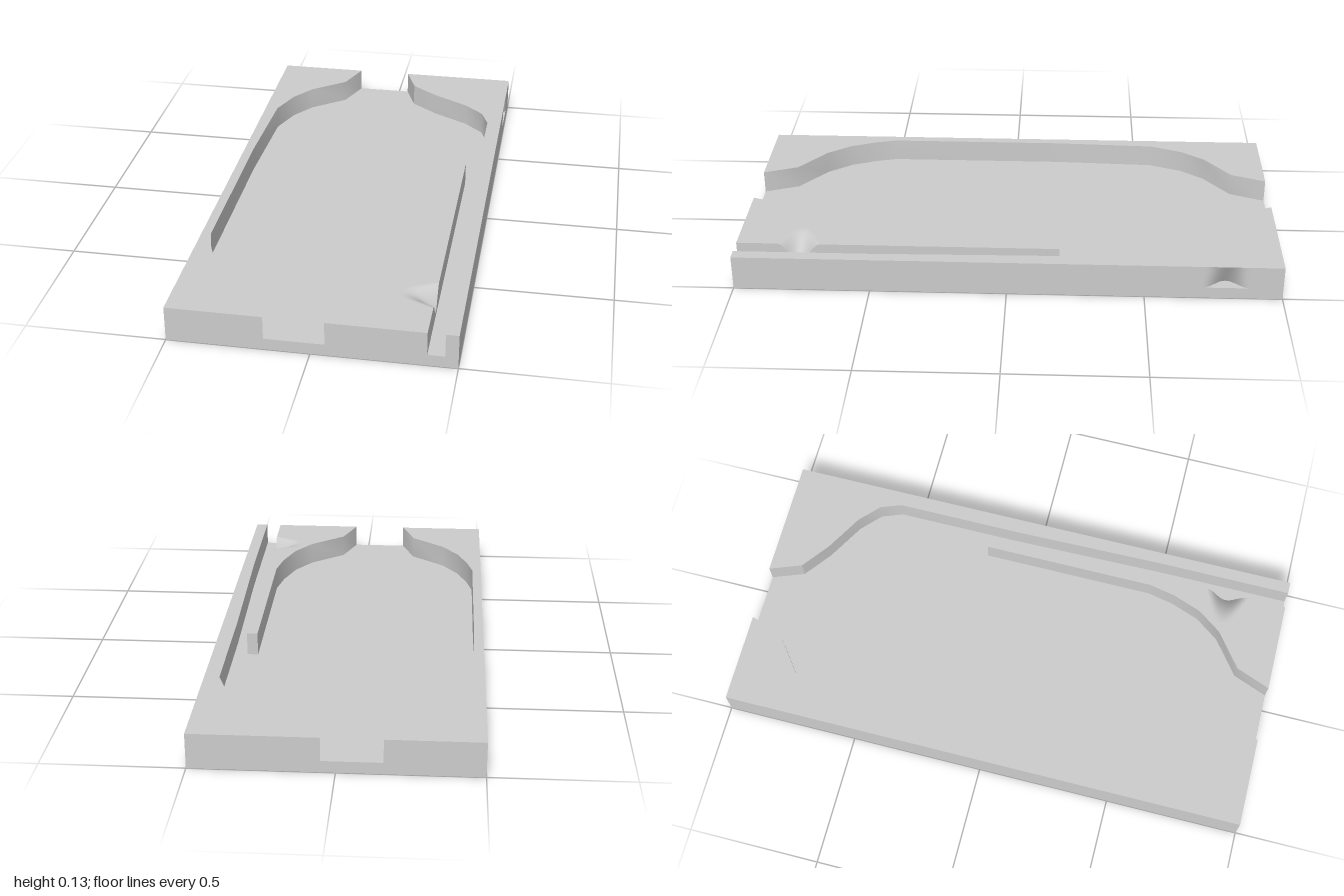
import * as THREE from 'three';
import { toCreasedNormals } from 'three/addons/utils/BufferGeometryUtils.js';

const FLOOR = 0.043, TOP = 0.13;
const lerp = THREE.MathUtils.lerp;
// Smooth hump, 0 at both ends and 1 in the middle
const hump = t => Math.sin(Math.PI * t) ** 2;

export function createModel() {
  const group = new THREE.Group();
  const material = new THREE.MeshStandardMaterial({ color: 0xcccccc });

  function add(name, geometry) {
    const mesh = new THREE.Mesh(geometry, material);
    mesh.name = name;
    group.add(mesh);
  }

  // Raise an [x, z] outline from the floor to the wall top
  function wall(name, outline) {
    const shape = new THREE.Shape(outline.map(([x, z]) => new THREE.Vector2(x, -z)));
    const geo = new THREE.ExtrudeGeometry(shape, { depth: TOP - FLOOR, bevelEnabled: false });
    geo.rotateX(-Math.PI / 2).translate(0, FLOOR, 0);
    add(name, toCreasedNormals(geo, 0.55));
  }

  // Grid surface whose points come from a rule (u, v) -> [x, y, z]
  function patch(name, rule, nu = 12, nv = 16) {
    const geo = new THREE.PlaneGeometry(1, 1, nu, nv);
    const pos = geo.attributes.position;
    for (let i = 0; i < pos.count; i++) {
      pos.setXYZ(i, ...rule(pos.getX(i) + 0.5, pos.getY(i) + 0.5));
    }
    geo.computeVertexNormals();
    add(name, geo);
  }

  // Base plate
  add('basePlate', new THREE.BoxGeometry(1, FLOOR, 2).translate(0, FLOOR / 2, 0));

  // Curved wall along the -x side
  wall('rightSideWall', [
    [-0.5, -1], [-0.16, -1], [-0.21, -0.87], [-0.34, -0.77], [-0.405, -0.68],
    [-0.45, -0.56], [-0.465, -0.17], [-0.465, 0.5], [-0.445, 0.58], [-0.405, 0.68],
    [-0.34, 0.77], [-0.21, 0.87], [-0.16, 1], [-0.5, 1],
  ]);

  // Back corner and thin rail along the +x side, open where the side dent sits
  wall('leftSideWall', [
    [0.05, -1], [0.095, -0.88], [0.2, -0.8], [0.34, -0.72], [0.415, -0.65],
    [0.445, -0.57], [0.445, -0.1], [0.455, 0.5], [0.455, 1], [0.5, 1],
    [0.5, -0.71], [0.44, -0.71], [0.44, -0.88], [0.5, -0.88], [0.5, -1],
  ]);

  // Side dent, deepest at the floor, with its flat cover
  patch('sideDent', (u, v) => [
    0.5 - 0.05 * hump(v) * (1 - u), lerp(FLOOR, TOP, u), lerp(-0.88, -0.71, v),
  ]);
  patch('sideDentCover', (u, v) => [lerp(0.44, 0.5, u), TOP, lerp(-0.71, -0.88, v)], 1, 1);

  // Front guide block with its long fin, open where the top dent sits
  wall('frontGuide', [
    [0.05, 1], [0.1, 0.87], [0.23, 0.77], [0.295, 0.68], [0.335, 0.57], [0.355, 0.47],
    [0.355, -0.19], [0.395, -0.19], [0.395, 0.69], [0.27, 0.74], [0.27, 0.8],
    [0.395, 0.85], [0.395, 1],
  ]);

  // Top dent, deepening toward the slot, and the slot face below it
  const dentZ = (u, v) => lerp(lerp(0.74, 0.69, u), lerp(0.8, 0.85, u), v);
  const dentY = (u, v) => TOP - 0.07 * u * u * hump(v);
  patch('guideDent', (u, v) => [lerp(0.27, 0.395, u), dentY(u, 1 - v), dentZ(u, 1 - v)]);
  patch('guideDentFace', (u, v) => [0.395, lerp(FLOOR, dentY(1, v), u), dentZ(1, v)], 1);

  return group;
}
